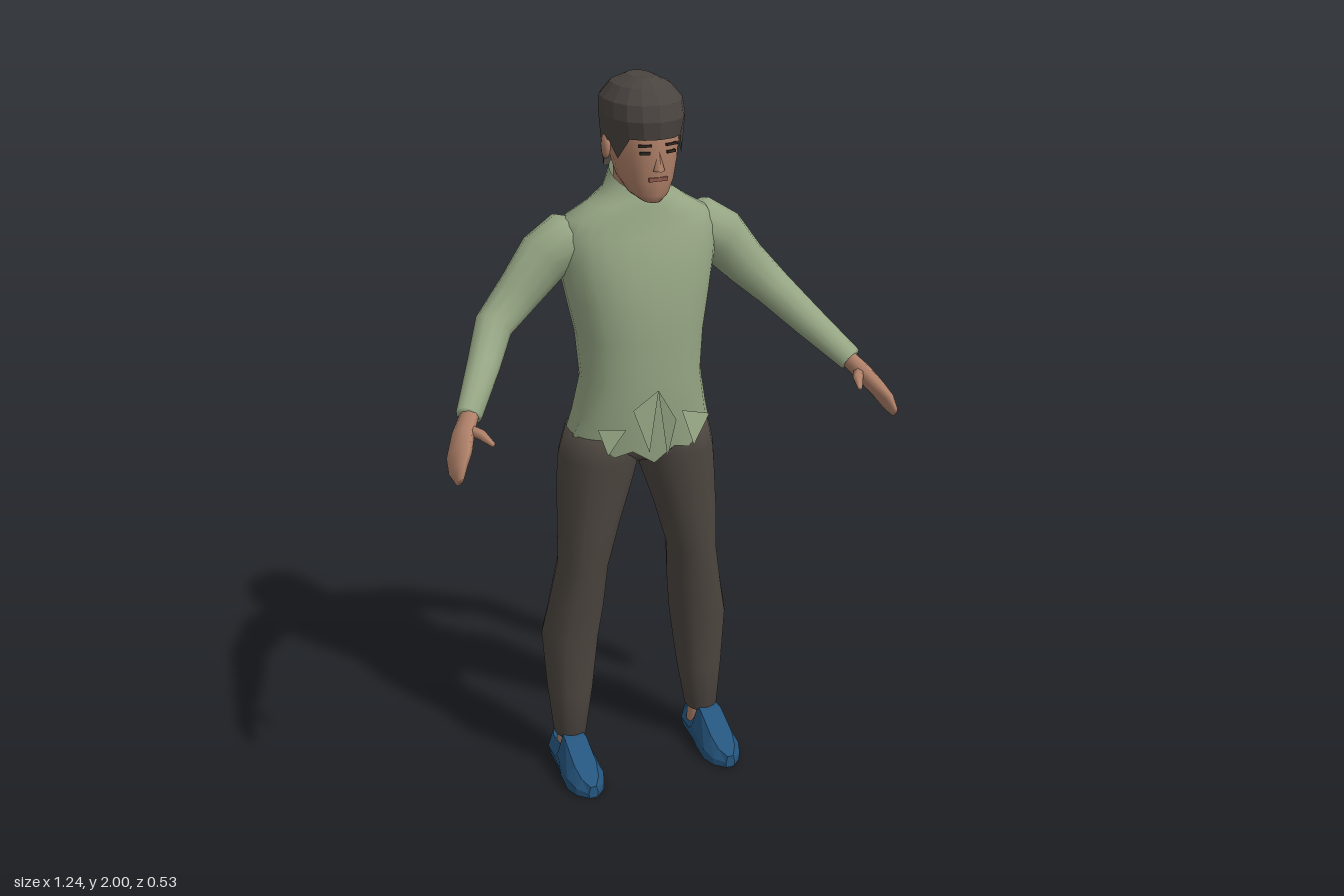
import * as THREE from 'three';

const mat = (name, color, side = THREE.FrontSide, flatShading = false) => {
  const m = new THREE.MeshStandardMaterial({ color, side, flatShading });
  m.name = name;
  return m;
};

// Skin closed rings of points into one surface, with optional end caps
function loft(rings, capStart = true, capEnd = true) {
  const n = rings[0].length, pos = [], idx = [];
  rings.forEach(r => r.forEach(p => pos.push(p.x, p.y, p.z)));
  for (let i = 0; i < rings.length - 1; i++)
    for (let j = 0; j < n; j++) {
      const k = (j + 1) % n, a = i * n + j, b = i * n + k, c = b + n, d = a + n;
      idx.push(a, b, c, a, c, d);
    }
  const cap = (i, flip) => {
    const c = rings[i].reduce((s, p) => s.add(p), new THREE.Vector3()).divideScalar(n);
    const ci = pos.length / 3;
    pos.push(c.x, c.y, c.z);
    for (let j = 0; j < n; j++) {
      const a = i * n + j, b = i * n + (j + 1) % n;
      flip ? idx.push(ci, b, a) : idx.push(ci, a, b);
    }
  };
  if (capStart) cap(0, true);
  if (capEnd) cap(rings.length - 1, false);
  const g = new THREE.BufferGeometry();
  g.setAttribute('position', new THREE.Float32BufferAttribute(pos, 3));
  g.setIndex(idx);
  g.computeVertexNormals();
  return g;
}

const bend = (v, e) => Math.sign(v) * Math.pow(Math.abs(v), e);

// Level ring: angle 0 faces front; dy shifts the height around the ring
function level(y, zFront, zBack, w, { cx = 0, n = 24, e = 0.9, dy = () => 0 } = {}) {
  return Array.from({ length: n }, (_, j) => {
    const a = j / n * Math.PI * 2, c = Math.cos(a), s = Math.sin(a);
    return new THREE.Vector3(cx + w * bend(s, e), y + dy(c, s, j),
      (zFront + zBack) / 2 + (zFront - zBack) / 2 * bend(c, e));
  });
}

// Limb along a bent path; each stop is [x, y, z, thickness, depth]
function limb(stops, sx, n = 12) {
  const P = stops.map(s => new THREE.Vector3(s[0] * sx, s[1], s[2]));
  return loft(P.map((p, i) => {
    const t = P[Math.min(i + 1, P.length - 1)].clone().sub(P[Math.max(i - 1, 0)]).normalize();
    const v = new THREE.Vector3(0, 0, 1).addScaledVector(t, -t.z).normalize();
    const u = v.clone().cross(t);
    return Array.from({ length: n }, (_, j) => {
      const a = j / n * Math.PI * 2;
      return p.clone().addScaledVector(u, stops[i][3] * Math.cos(a))
        .addScaledVector(v, stops[i][4] * Math.sin(a));
    });
  }));
}

export function createModel() {
  const root = new THREE.Group();
  root.name = 'standingMan';
  const shirt = mat('sage cloth', 0x96a684, THREE.DoubleSide);
  const trousers = mat('dark brown cloth', 0x4d4640);
  const hair = mat('dark hair', 0x4a4440, THREE.DoubleSide, true);
  const skin = mat('skin', 0xb08169);
  const shoe = mat('blue shoe', 0x25567f, THREE.DoubleSide, true);
  const lip = mat('lips', 0x8f594c);
  const dark = mat('eye', 0x2e2622);
  const add = (name, geo, m, parent = root) => {
    const o = new THREE.Mesh(geo, m);
    o.name = name;
    parent.add(o);
    return o;
  };

  // Torso with a ragged hem and a collar that is higher behind
  const rag = [-0.06, -0.02, -0.035, 0.01, -0.01, 0.015];
  const hem = (c, s, j) => rag[Math.min(j, 24 - j) % 6] * (c > 0 ? 1 : 0.5);
  add('torso', loft([
    level(1.03, 0.03, -0.232, 0.203, { dy: hem }),
    level(1.1, 0.045, -0.212, 0.185),
    level(1.2, 0.05, -0.196, 0.166),
    level(1.32, 0.052, -0.212, 0.175),
    level(1.42, 0.05, -0.232, 0.195),
    level(1.52, 0.035, -0.236, 0.215),
    level(1.59, 0.012, -0.218, 0.218),
    level(1.635, -0.002, -0.2, 0.195),
    level(1.67, -0.008, -0.18, 0.135),
    level(1.7, -0.015, -0.168, 0.092, { dy: c => -0.012 * c }),
    level(1.745, -0.022, -0.158, 0.072, { dy: c => -0.035 * c }),
  ], false, false), shirt);

  // Torn strips of cloth hanging off the hem
  const shred = (...p) => {
    const g = new THREE.BufferGeometry();
    g.setAttribute('position', new THREE.Float32BufferAttribute(p, 3));
    g.computeVertexNormals();
    add('tornStrip', g, shirt);
  };
  shred(-0.16, 1.09, 0.03, -0.09, 1.09, 0.055, -0.14, 1.02, 0.05);
  shred(-0.07, 1.14, 0.055, 0.0, 1.19, 0.06, -0.03, 1.02, 0.07);
  shred(0.0, 1.19, 0.056, 0.05, 1.1, 0.062, 0.03, 0.99, 0.05);
  shred(0.07, 1.12, 0.052, 0.16, 1.09, 0.03, 0.1, 1.02, 0.065);
  for (const s of [-1, 1]) {
    shred(s * 0.08, 1.2, -0.19, s * 0.14, 1.18, -0.18, s * 0.11, 1.12, -0.235);
    shred(s * 0.06, 1.1, -0.205, s * 0.14, 1.09, -0.19, s * 0.11, 1.02, -0.265);
  }

  // Hips
  add('hips', loft([
    level(0.955, -0.03, -0.19, 0.1), level(0.99, 0.005, -0.218, 0.2), level(1.06, 0.01, -0.2, 0.19),
  ]), trousers);

  for (const s of [1, -1]) {
    const side = new THREE.Group();
    side.name = s > 0 ? 'leftLimbs' : 'rightLimbs';
    root.add(side);

    // Sleeve, hand, thumb
    add('sleeve', limb([
      [0.13, 1.575, -0.115, 0.05, 0.06], [0.19, 1.57, -0.118, 0.078, 0.078],
      [0.25, 1.535, -0.115, 0.074, 0.064], [0.32, 1.455, -0.108, 0.062, 0.052],
      [0.4, 1.375, -0.09, 0.052, 0.046], [0.46, 1.305, 0.005, 0.044, 0.04],
      [0.535, 1.222, 0.115, 0.034, 0.032],
    ], s), shirt, side);
    add('hand', limb([
      [0.525, 1.23, 0.1, 0.022, 0.026], [0.56, 1.19, 0.145, 0.024, 0.036],
      [0.585, 1.152, 0.19, 0.022, 0.05], [0.598, 1.128, 0.222, 0.017, 0.042],
      [0.603, 1.108, 0.25, 0.008, 0.02],
    ], s, 8), skin, side);
    add('thumb', limb([
      [0.55, 1.2, 0.14, 0.014, 0.016], [0.522, 1.193, 0.185, 0.014, 0.014],
      [0.507, 1.182, 0.228, 0.006, 0.006],
    ], s, 6), skin, side);

    // Trouser leg, rings listed from the ankle up
    add('trouserLeg', loft([
      [0.105, -0.06, -0.165, 0.205, 0.045], [0.25, -0.05, -0.188, 0.2, 0.064],
      [0.42, -0.04, -0.206, 0.195, 0.08], [0.52, -0.026, -0.198, 0.179, 0.075],
      [0.65, -0.01, -0.186, 0.163, 0.067], [0.78, -0.002, -0.196, 0.144, 0.085],
      [0.9, 0.004, -0.215, 0.122, 0.103], [0.97, 0.01, -0.22, 0.11, 0.109],
      [1.045, 0.01, -0.21, 0.1, 0.1],
    ].map(([y, f, b, cx, w]) => level(y, f, b, w, { cx: cx * s, n: 14 }))), trousers, side);
    add('ankle', loft([
      level(0.03, -0.08, -0.165, 0.034, { cx: 0.205 * s, n: 10 }),
      level(0.13, -0.08, -0.158, 0.034, { cx: 0.205 * s, n: 10 }),
    ]), skin, side);

    // Shoe: cross-sections from heel to toe, [z, half width, top, sole half width]
    add('shoe', loft([
      [-0.203, 0.022, 0.06, 0.02], [-0.17, 0.042, 0.058, 0.036], [-0.1, 0.047, 0.068, 0.04],
      [-0.075, 0.048, 0.115, 0.042], [-0.045, 0.053, 0.112, 0.048], [0.03, 0.055, 0.074, 0.054],
      [0.07, 0.042, 0.05, 0.04], [0.097, 0.014, 0.036, 0.012],
    ].map(([z, w, h, b]) => [[b, 0], [w, h * 0.45], [w * 0.6, h], [-w * 0.6, h], [-w, h * 0.45], [-b, 0]]
      .map(([x, y]) => new THREE.Vector3(0.211 * s + x, y, z)))), shoe, side);
  }

  // Neck and head
  const h = { n: 16 };
  add('neck', loft([level(1.6, -0.03, -0.15, 0.06, h), level(1.78, -0.02, -0.15, 0.062, h)]), skin);
  add('head', loft([
    level(1.692, 0.038, -0.04, 0.024, h), level(1.712, 0.048, -0.09, 0.05, h),
    level(1.75, 0.054, -0.13, 0.07, h), level(1.8, 0.058, -0.155, 0.082, h),
    level(1.85, 0.06, -0.17, 0.088, h), level(1.93, 0.05, -0.17, 0.085, h),
  ]), skin);
  const nose = add('nose', new THREE.ConeGeometry(0.016, 0.05, 4), skin);
  nose.position.set(0, 1.805, 0.059);
  add('mouth', new THREE.BoxGeometry(0.05, 0.01, 0.008), lip).position.set(0, 1.757, 0.053);
  for (const s of [-1, 1]) {
    const eye = add('eye', new THREE.BoxGeometry(0.026, 0.007, 0.008), dark);
    eye.position.set(0.035 * s, 1.826, 0.052);
    eye.rotation.y = 0.3 * s;
    const brow = add('brow', new THREE.BoxGeometry(0.034, 0.006, 0.008), dark);
    brow.position.set(0.036 * s, 1.845, 0.053);
    brow.rotation.y = 0.3 * s;
    const ear = add('ear', new THREE.SphereGeometry(1, 8, 6), skin);
    ear.scale.set(0.012, 0.034, 0.02);
    ear.position.set(0.092 * s, 1.822, -0.075);
  }

  // Hair cap: short fringe, sideburns, longer at the nape
  const hairline = c => c > 0.6 ? 0.045 : c > 0.3 ? -0.01 : c > -0.1 ? 0.03 : c > -0.5 ? -0.05 : -0.065;
  add('hair', loft([
    level(1.815, 0.066, -0.176, 0.093, { n: 16, dy: hairline }),
    level(1.905, 0.072, -0.19, 0.104, h), level(1.945, 0.06, -0.192, 0.1, h),
    level(1.98, 0.025, -0.16, 0.072, h), level(2.0, -0.01, -0.115, 0.03, h),
  ], false, true), hair);
  add('napeHair', loft([
    level(1.72, -0.1, -0.155, 0.04, { n: 8 }), level(1.8, -0.08, -0.172, 0.065, { n: 8 }),
  ]), hair);
  return root;
}
